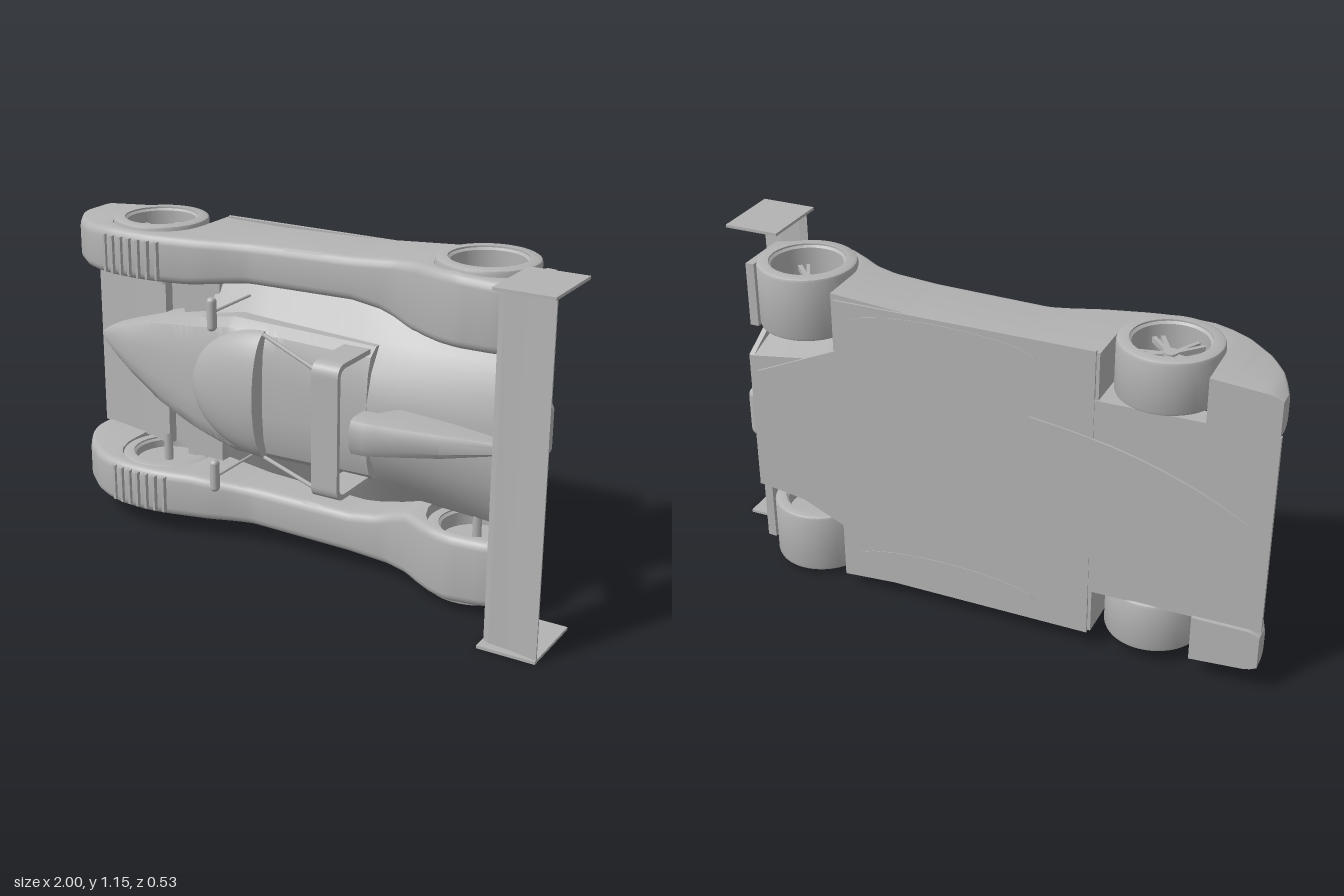
import * as THREE from 'three';
import { toCreasedNormals } from 'three/addons/utils/BufferGeometryUtils.js';
import { RoundedBoxGeometry } from 'three/addons/geometries/RoundedBoxGeometry.js';

// Axes: x runs nose (-1) to tail (+1), y is across the car, z is the car's height.
const grey = new THREE.MeshStandardMaterial({ color: 0xb3b3b3 });
grey.name = 'bodyGrey';

// Piecewise linear lookup in a table of [x, value]
function at(table, x) {
  if (x <= table[0][0]) return table[0][1];
  for (let i = 1; i < table.length; i++) {
    const [a, va] = table[i - 1], [b, vb] = table[i];
    if (x <= b) return va + (vb - va) * (x - a) / (b - a);
  }
  return table[table.length - 1][1];
}

// Make a closed surface face outwards
function outward(geo) {
  const p = geo.attributes.position, ix = geo.index.array;
  const a = new THREE.Vector3(), b = new THREE.Vector3(), c = new THREE.Vector3();
  let vol = 0;
  for (let i = 0; i < ix.length; i += 3) {
    a.fromBufferAttribute(p, ix[i]); b.fromBufferAttribute(p, ix[i + 1]); c.fromBufferAttribute(p, ix[i + 2]);
    vol += a.dot(b.cross(c));
  }
  if (vol < 0) for (let i = 0; i < ix.length; i += 3) [ix[i], ix[i + 1]] = [ix[i + 1], ix[i]];
  return toCreasedNormals(geo, 0.6);
}

// Closed solid through rings of equal point count
function loft(rings) {
  const n = rings[0].length, m = rings.length, pos = rings.flat(2), idx = [];
  for (let i = 0; i < m - 1; i++) for (let j = 0; j < n; j++) {
    const a = i * n + j, b = i * n + (j + 1) % n;
    idx.push(a, b, a + n, b, b + n, a + n);
  }
  [0, m - 1].forEach((r, k) => {
    const c = pos.length / 3;
    pos.push(...[0, 1, 2].map(d => rings[r].reduce((s, q) => s + q[d], 0) / n));
    for (let j = 0; j < n; j++) {
      const a = r * n + j, b = r * n + (j + 1) % n;
      idx.push(...(k ? [a, b, c] : [b, a, c]));
    }
  });
  const geo = new THREE.BufferGeometry();
  geo.setAttribute('position', new THREE.Float32BufferAttribute(pos, 3));
  geo.setIndex(idx);
  return outward(geo);
}

// Complete a half section, given from the middle top outwards and down
const bothSides = (x, half) => [...half.map(([y, z]) => [x, y, z]), ...half.slice().reverse().map(([y, z]) => [x, -y, z])];

const steps = (a, b, n) => Array.from({ length: n + 1 }, (_, i) => a + (b - a) * i / n);
const shapeOf = pts => new THREE.Shape(pts.map(p => new THREE.Vector2(...p)));
const extrude = (shape, depth) => new THREE.ExtrudeGeometry(shape, { depth, bevelEnabled: false, curveSegments: 10 });
// Side outline (x, z) extruded across the car, centred on y
const sidePlate = (pts, width, y = 0) => extrude(shapeOf(pts), width).rotateX(Math.PI / 2).translate(0, y + width / 2, 0);

const WHEELS = [{ x: -0.61, z: -0.1, mid: 0.435, width: 0.18 }, { x: 0.63, z: -0.093, mid: 0.448, width: 0.22 }];
const R = 0.165, ARCH = 0.168;

const fenderTop = [[-1, -.19], [-.985, -.15], [-.957, -.09], [-.904, -.016], [-.82, .053], [-.76, .08], [-.69, .097], [-.61, .102],
  [-.54, .1], [-.476, .09], [-.342, .06], [-.25, .03], [-.18, .012], [.35, .005], [.43, .025], [.49, .06], [.55, .088], [.62, .104], [.73, .098], [.83, .075]];
const fenderOut = [[-1, .475], [-.97, .49], [-.7, .512], [-.2, .505], [.2, .515], [.4, .53], [.6, .545], [.83, .53]];
const fenderIn = [[-1, .36], [-.97, .345], [-.4, .345], [-.2, .365], [.2, .37], [.3, .355], [.42, .312], [.83, .308]];

function fenderGeometry(side) {
  const xs = steps(-1, .83, 90);
  WHEELS.forEach(w => xs.push(w.x - ARCH - .001, w.x - ARCH, w.x + ARCH, w.x + ARCH + .001));
  xs.sort((a, b) => a - b);
  return loft(xs.map(x => {
    const r = .03, top = at(fenderTop, x), o = at(fenderOut, x), i = at(fenderIn, x);
    let low = x < -.7 ? -.265 : x < .6 ? -.25 : -.15;
    WHEELS.forEach(w => {
      const d = Math.abs(x - w.x);
      if (d <= ARCH + 1e-6) low = w.z + Math.sqrt(Math.max(0, ARCH * ARCH - d * d));
    });
    low = Math.min(low, top - r);
    const ring = [[x, side * o, low]];
    for (const a of steps(0, 90, 4)) ring.push([x, side * (o - r + r * Math.cos(a * Math.PI / 180)), top - r + r * Math.sin(a * Math.PI / 180)]);
    for (const a of steps(90, 180, 4)) ring.push([x, side * (i + r + r * Math.cos(a * Math.PI / 180)), top - r + r * Math.sin(a * Math.PI / 180)]);
    ring.push([x, side * i, low]);
    return ring;
  }));
}

export function createModel() {
  const model = new THREE.Group(), car = new THREE.Group();
  car.name = 'raceCar';
  car.position.y = 0.58;
  model.add(car);
  const add = (name, geo, parent = car) => {
    const m = new THREE.Mesh(geo, grey);
    m.name = name;
    parent.add(m);
    return m;
  };
  const box = (name, x0, x1, y0, y1, z0, z1) =>
    add(name, new THREE.BoxGeometry(x1 - x0, y1 - y0, z1 - z0).translate((x0 + x1) / 2, (y0 + y1) / 2, (z0 + z1) / 2));
  const rod = (name, a, b, r) =>
    add(name, new THREE.TubeGeometry(new THREE.LineCurve3(new THREE.Vector3(...a), new THREE.Vector3(...b)), 1, r, 8));

  // Nose cone and cockpit tub
  const tubHalf = [[-.985, .012], [-.96, .03], [-.9, .062], [-.8, .1], [-.63, .16], [-.5, .192], [-.4, .212], [-.25, .243], [.29, .23]];
  const tubTop = [[-.985, -.215], [-.9, -.165], [-.8, -.11], [-.6, -.03], [-.4, .035], [-.25, .05], [.29, .05]];
  add('noseAndCockpit', loft(steps(-.985, .29, 40).map(x => {
    const h = at(tubHalf, x), t = at(tubTop, x), d = Math.min(.06, (t + .25) * .45);
    return bothSides(x, [[h * .3, t], [h * .65, t - d * .12], [h * .88, t - d * .4], [h, t - d], [h, -.25]]);
  })));

  // Side and rear deck, a hump falling away to the fenders
  const deckHalf = [[-.4, .35], [-.2, .37], [.2, .375], [.42, .32], [.765, .31]];
  const deckEdge = [[-.4, -.16], [.2, -.13], [.5, -.1], [.765, -.06]];
  const deckFoot = [[-.4, .35], [.45, .34], [.5, .29], [.765, .25]];
  add('rearDeck', loft(steps(-.4, .765, 24).map(x => {
    const h = at(deckHalf, x), e = at(deckEdge, x), t = at([[-.4, -.02], [-.2, .03], [.3, .048], [.765, .03]], x);
    return bothSides(x, [[.06, t], [.15, t - (t - e) * .16], [.24, t - (t - e) * .5], [h, e], [at(deckFoot, x), -.245]]);
  })));
  add('rearWall', extrude(shapeOf([[-.25, -.245], [.25, -.245], [.305, -.15], [.305, .052], [-.305, .052], [-.305, -.15]]), .018)
    .applyMatrix4(new THREE.Matrix4().makeBasis(new THREE.Vector3(0, 1, 0), new THREE.Vector3(0, 0, 1), new THREE.Vector3(1, 0, 0)))
    .translate(.765, 0, 0));

  // Windscreen cowl, a quarter dome with an upright rear edge
  add('windscreen', loft(steps(.03, 1, 14).map(t => {
    const k = Math.sqrt(1 - (1 - t) ** 2);
    return steps(0, Math.PI, 18).map(a => [-.4 + .293 * t, .225 * k * Math.cos(a), .025 + .09 * k * Math.sin(a)]);
  })));

  // Front panel with its cross strips, and the floor
  add('frontPanel', sidePlate([[-1, -.25], [-.38, -.255], [-.38, -.11], [-.53, -.11], [-.53, -.19], [-.64, -.19], [-.64, -.15], [-.8, -.195], [-1, -.235]], .7));
  box('floor', -.43, .45, -.515, .515, -.257, -.243);
  add('diffuser', extrude(shapeOf([[.44, -.34], [.75, -.2], [.75, .2], [.44, .34]]), .012).translate(0, 0, -.255));
  const plank = new THREE.Shape();
  plank.moveTo(-.22, -.25);
  plank.quadraticCurveTo(-.7, -.2, -.985, 0);
  plank.quadraticCurveTo(-.7, .2, -.22, .25);
  add('nosePlank', extrude(plank, .008).translate(0, 0, -.262));

  // Roll hoop: a broad, thin arch
  const hoop = new THREE.Shape();
  hoop.moveTo(.23, .02).lineTo(.23, .181);
  hoop.quadraticCurveTo(.23, .226, .185, .226).lineTo(-.185, .226);
  hoop.quadraticCurveTo(-.23, .226, -.23, .181).lineTo(-.23, .02).lineTo(-.213, .02).lineTo(-.213, .175);
  hoop.quadraticCurveTo(-.213, .209, -.178, .209).lineTo(.178, .209);
  hoop.quadraticCurveTo(.213, .209, .213, .175).lineTo(.213, .02);
  const across = new THREE.Matrix4().makeBasis(new THREE.Vector3(0, 1, 0), new THREE.Vector3(0, 0, 1), new THREE.Vector3(1, 0, 0));
  add('rollHoop', extrude(hoop, .095).applyMatrix4(across).translate(.19, 0, 0));

  // Air intake tapering into a tail fin
  add('airIntake', loft([[.322, .062, .125, .218], [.37, .06, .115, .218], [.4, .058, .06, .21], [.45, .054, .01, .196], [.6, .042, .0, .148], [.8, .018, .0, .055]]
    .map(([x, h, b, t]) => bothSides(x, [[h * .5, t], [h * .9, t - .012], [h, t - .03], [h, b]]))));

  // Rear wing, end plates and pylons
  add('wingBlade', sidePlate([[.81, .222], [.84, .218], [.92, .224], [1, .25], [1, .256], [.9, .238], [.83, .232]], 1.14));
  for (const s of [-1, 1]) {
    add('wingEndPlate', sidePlate([[.805, .01], [1, .01], [1, .264], [.805, .264]], .01, s * .571));
    add('wingPylon', sidePlate([[.74, 0], [.84, 0], [.94, .225], [.86, .225]], .006, s * .03));
  }

  // Gearbox and rear fittings
  add('gearbox', new RoundedBoxGeometry(.1, .185, .14, 4, .03).translate(.785, 0, -.14));
  box('gearboxCarrier', .77, .86, -.05, .05, .0, .045);

  for (const s of [-1, 1]) {
    add('fender', fenderGeometry(s));

    // Raised louvres over the front wheels
    for (let i = 0; i < 7; i++) {
      const x = -.715 + i * .036;
      add('louvre', sidePlate([[-.016, -.012], [.014, -.012], [.014, .014], [.006, .014]], .13))
        .position.set(x, s * .425, at(fenderTop, x));
    }

    // Mirror, roll hoop strut and underside oval
    add('mirror', new RoundedBoxGeometry(.03, .115, .034, 4, .014).translate(-.25, s * .287, .128));
    rod('mirrorStalk', [-.25, s * .293, .12], [-.25, s * .293, -.1], .005);
    rod('hoopStrut', [-.1, s * .218, .045], [.2, s * .2, .212], .007);
    const oval = new THREE.Shape();
    oval.absellipse(.08, s * .44, .33, .06, 0, Math.PI * 2);
    add('floorOval', extrude(oval, .004).translate(0, 0, -.259));

    // Tail lamps in a rounded surround
    const surround = new THREE.Shape();
    surround.absarc(s * .43 + .045, .015, .04, -Math.PI / 2, Math.PI / 2);
    surround.absarc(s * .43 - .045, .015, .04, Math.PI / 2, Math.PI * 1.5);
    add('lampSurround', extrude(surround, .006).applyMatrix4(across).translate(.83, 0, 0));
    for (const y of [.392, .468]) add('tailLamp', new THREE.SphereGeometry(.034, 20, 12).scale(.4, 1, 1).translate(.836, s * y, .015));
    for (const y of [.24, .28]) add('smallLamp', new THREE.CylinderGeometry(.019, .019, .012, 20).rotateZ(Math.PI / 2).translate(.786, s * y, .005));

    // Wheels: tyre, deep dished rim and five pairs of spokes
    for (const w of WHEELS) {
      const wheel = new THREE.Group(), h = w.width / 2;
      wheel.name = 'wheel';
      wheel.position.set(w.x, s * w.mid, w.z);
      car.add(wheel);
      const ring = (pts, n) => outward(new THREE.LatheGeometry(pts.map(p => new THREE.Vector2(...p)), n));
      add('tyre', ring([[.126, -h], [.155, -h], [.162, -h + .004], [R, -h + .012], [R, h - .012], [.162, h - .004], [.155, h], [.126, h], [.126, -h]], 48), wheel);
      add('rim', ring([[.118, -h + .012], [.128, -h + .004], [.128, h - .004], [.118, h - .012], [.118, -h + .012]], 40), wheel);
      add('hub', new THREE.CylinderGeometry(.024, .024, .05, 20).translate(0, s * .02, 0), wheel);
      add('wheelBack', new THREE.CylinderGeometry(.12, .12, .012, 32).translate(0, s * -.045, 0), wheel);
      for (let i = 0; i < 10; i++) {
        const pair = Math.floor(i / 2), lean = i % 2 ? .12 : -.12;
        add('spoke', new THREE.BoxGeometry(.11, .018, .014).translate(.066, s * .03, 0)
          .rotateY(pair * Math.PI * .4 + Math.PI / 2 + lean), wheel);
      }
      rod('axle', [w.x, s * .28, w.z], [w.x, s * w.mid, w.z], .016);
    }
  }
  return model;
}
